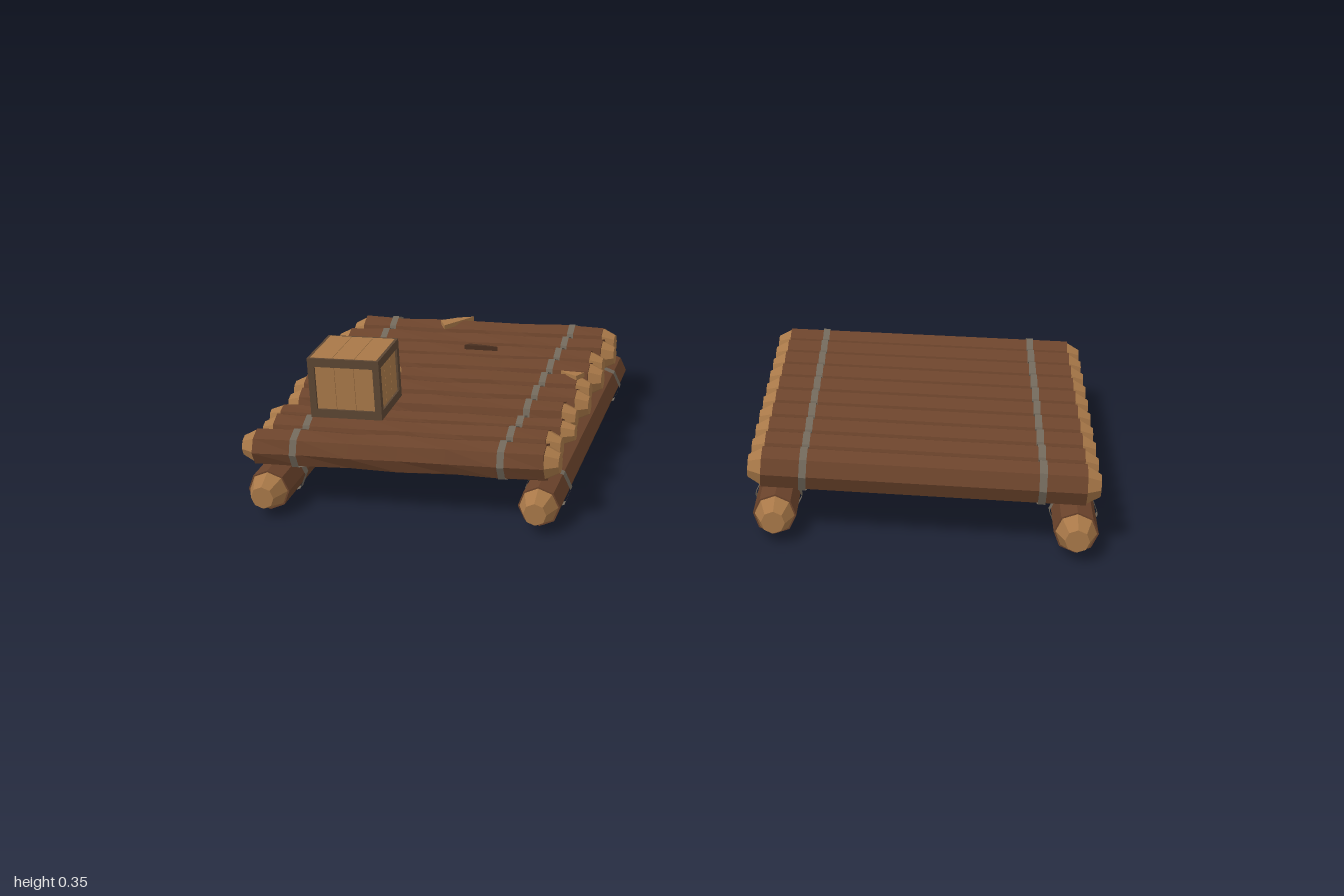
import * as THREE from 'three';

const mat = (color, side = THREE.FrontSide) => new THREE.MeshStandardMaterial({ color, side, flatShading: true });
const bark = mat(0x6b432b), wood = mat(0xa87848), rope = mat(0x70675a, THREE.DoubleSide);
const frameWood = mat(0x5c4633), chipDark = mat(0x4a3020);

function part(parent, name, geo, material, x = 0, y = 0, z = 0) {
  const m = new THREE.Mesh(geo, material);
  m.name = name;
  m.position.set(x, y, z);
  parent.add(m);
  return m;
}

// Octagonal log along y: bark sleeve plus pale tapered ends; wear gives it an uneven outline
function makeLog(name, length, r, taper, wear = 0, seed = 0) {
  const g = new THREE.Group();
  g.name = name;
  const core = length - 2 * taper;
  const sleeve = new THREE.CylinderGeometry(r, r, core, 8, wear ? 6 : 1);
  if (wear) {
    const p = sleeve.attributes.position;
    for (let i = 0; i < p.count; i++) {
      const x = p.getX(i), y = p.getY(i), z = p.getZ(i);
      const k = 1 + wear * Math.sin(y * 23 + seed * 2.3 + Math.round(Math.atan2(z, x) * 4 / Math.PI + 8) % 8 * 1.9);
      p.setX(i, x * k);
      p.setZ(i, z * k);
    }
    sleeve.computeVertexNormals();
  }
  part(g, 'bark', sleeve, bark);
  for (const s of [-1, 1]) {
    const a = r * 0.92, b = r * 0.55;
    part(g, 'cutEnd', new THREE.CylinderGeometry(s > 0 ? b : a, s > 0 ? a : b, taper, 8), wood, 0, s * (core + taper) / 2);
  }
  return g;
}

// Rope band around a log, axis along y
function makeBand(name, r, width) {
  const m = new THREE.Mesh(new THREE.CylinderGeometry(r, r, width, 8, 1, true), rope);
  m.name = name;
  return m;
}

function makeRaft(name, o) {
  const raft = new THREE.Group();
  raft.name = name;
  // two runners along z, with their bands
  for (const x of o.runnersX) {
    const log = makeLog('runnerLog', o.runnerZ[1] - o.runnerZ[0], 0.05, 0.045);
    log.rotation.x = Math.PI / 2;
    log.position.set(x, 0.058, (o.runnerZ[0] + o.runnerZ[1]) / 2);
    raft.add(log);
    for (const z of o.runnerBandsZ) {
      const band = makeBand('runnerRope', 0.055, 0.022);
      band.rotation.x = Math.PI / 2;
      band.position.set(x, 0.058, z);
      raft.add(band);
    }
  }
  // deck logs along x, each wrapped by two bands
  o.logs.forEach(([z, r, x0, x1], i) => {
    const log = makeLog('deckLog', x1 - x0, r, 0.032, o.wear, i);
    log.rotation.z = Math.PI / 2;
    log.position.set((x0 + x1) / 2, 0.152, z);
    raft.add(log);
    for (const x of o.deckBandsX) {
      const band = makeBand('deckRope', r + 0.004, 0.017);
      band.rotation.z = Math.PI / 2;
      band.position.set(x, 0.152, z);
      raft.add(band);
    }
  });
  return raft;
}

// Crate: three boards per face inside a dark frame
function makeCrate(w, h, d) {
  const crate = new THREE.Group();
  crate.name = 'crate';
  const t = 0.016, box = (a, b, c) => new THREE.BoxGeometry(a, b, c);
  part(crate, 'crateCore', box(w - 0.016, h - 0.01, d - 0.016), frameWood);
  for (const s of [-1, 1]) {
    for (const q of [-1, 1]) {
      part(crate, 'frameBeam', box(w, t + 0.005, t), frameWood, 0, s * (h - t - 0.005) / 2, q * (d - t) / 2);
      part(crate, 'frameBeam', box(t, t + 0.005, d), frameWood, s * (w - t) / 2, q * (h - t - 0.005) / 2, 0);
      part(crate, 'framePost', box(t, h, t), frameWood, s * (w - t) / 2, 0, q * (d - t) / 2);
    }
    for (let i = -1; i <= 1; i++) {
      const bw = (w - 2 * t) / 3, bd = (d - 2 * t) / 3;
      part(crate, 'board', box(bw - 0.001, h - 2 * t, 0.004), wood, i * bw, 0, s * (d / 2 - 0.007));
      part(crate, 'board', box(0.004, h - 2 * t, bd - 0.001), wood, s * (w / 2 - 0.007), 0, i * bd);
      part(crate, 'board', box((w - 0.012) / 3 - 0.001, 0.004, d - 0.012), wood, i * (w - 0.012) / 3, s * (h / 2 - 0.0015), 0);
    }
  }
  return crate;
}

// Flat pointed splinter of pale wood lying on a log
function makeChip(x, z, length, width, angle, material = wood) {
  const s = new THREE.Shape([[-0.5, -0.5], [0.5, 0], [0.1, 0.35], [-0.4, 0.5]].map(([a, b]) => new THREE.Vector2(a * length, b * width)));
  const geo = new THREE.ExtrudeGeometry(s, { depth: 0.012, bevelEnabled: false });
  geo.rotateX(-Math.PI / 2);
  const m = new THREE.Mesh(geo, material);
  m.name = 'splinter';
  m.position.set(x, 0.189, z);
  m.rotation.y = angle;
  return m;
}

export function createModel() {
  const model = new THREE.Group();
  model.name = 'logRafts';

  // intact raft
  model.add(makeRaft('soundRaft', {
    runnersX: [0.265, 0.945], runnerZ: [-0.527, 0.487], runnerBandsZ: [-0.355, 0.33],
    deckBandsX: [0.325, 0.865], wear: 0,
    logs: Array.from({ length: 10 }, (_, i) => [-0.415 + i * 0.089, 0.05, 0.197, 0.995]),
  }));

  // worn raft: uneven logs with gaps
  const radii = [0.046, 0.043, 0.044, 0.046, 0.044, 0.043, 0.042, 0.034, 0.044, 0.045];
  const worn = makeRaft('wornRaft', {
    runnersX: [-0.932, -0.28], runnerZ: [-0.457, 0.523], runnerBandsZ: [-0.29, 0.37],
    deckBandsX: [-0.865, -0.368], wear: 0.05,
    logs: radii.map((r, i) => [-0.363 + i * 0.0886, r, i % 2 ? -0.997 : -0.98, i % 2 ? -0.235 : -0.25]),
  });
  worn.add(
    makeChip(-0.69, -0.36, 0.1, 0.045, 0.7),
    makeChip(-0.575, -0.172, 0.09, 0.014, -0.1, chipDark),
    makeChip(-0.76, -0.01, 0.07, 0.025, 1.9),
    makeChip(-0.3, -0.012, 0.06, 0.03, 2.8),
  );
  model.add(worn);

  const crate = makeCrate(0.175, 0.15, 0.162);
  crate.position.set(-0.772, 0.273, 0.272);
  model.add(crate);
  return model;
}
